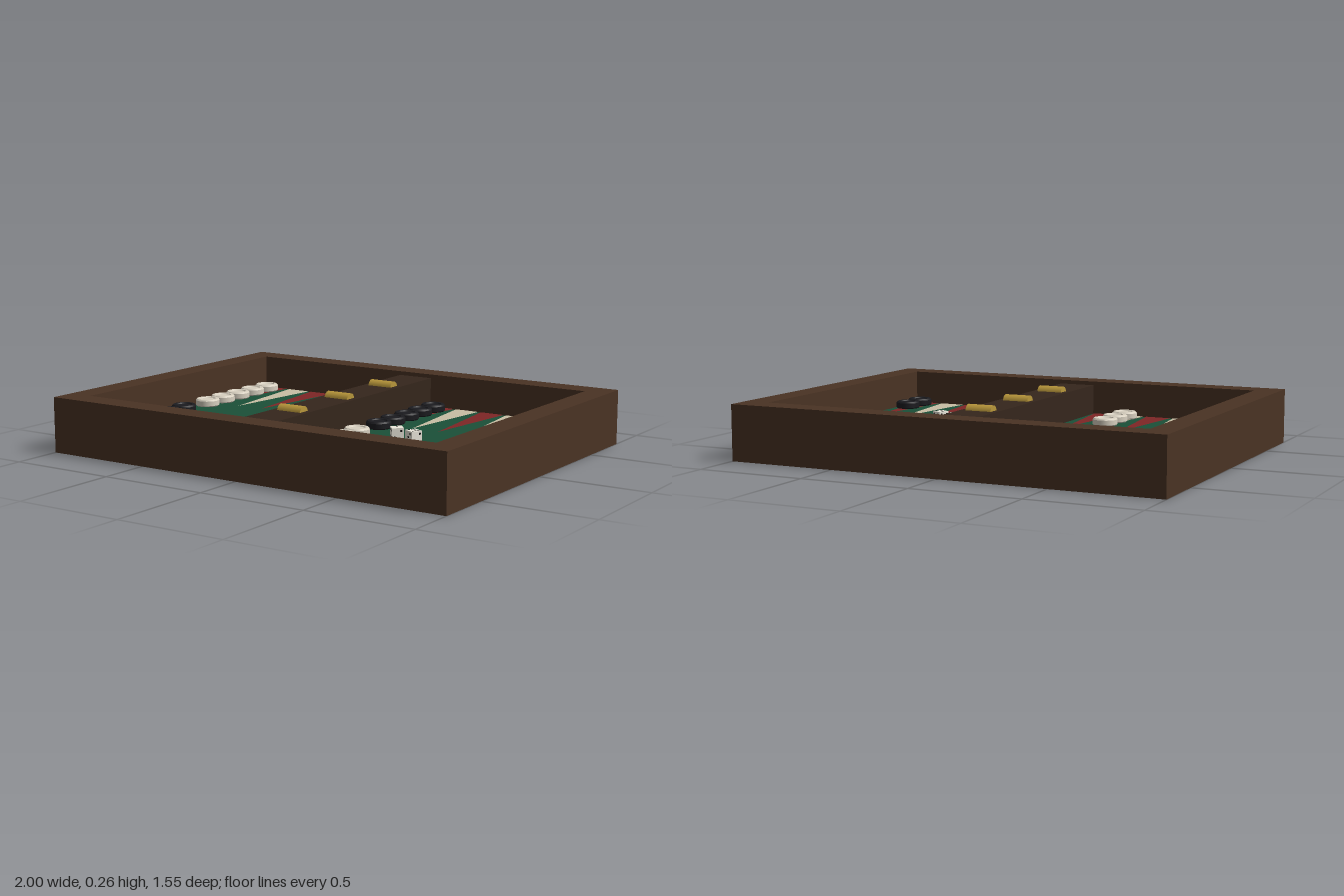
import * as THREE from 'three';

const mat = (color, extra = {}) => new THREE.MeshStandardMaterial({ color, ...extra });

const W = 1, D = 0.773, H = 0.25;        // half width, half depth, height of the case
const IW = 0.887, ID = 0.66;             // half width and depth of the playing area
const BAR = 0.085, FLOOR = 0.094;        // half width of the bar, height of the felt
const STEP = (IW - BAR) / 6;             // spacing of the points
const R = 0.057;                         // checker radius

export function createModel() {
  const model = new THREE.Group();
  model.name = 'backgammonBoard';
  const wood = mat(0x4a3324), darkWood = mat(0x35261c), felt = mat(0x1b5038);
  const red = mat(0x7f2626), cream = mat(0xc8bfa5), brass = mat(0xb8963a);
  const ivory = mat(0xd8d0c0), black = mat(0x1b1b1f), dieWhite = mat(0xece8dc), pipBlack = mat(0x111111);

  const add = (parent, name, geometry, material, x = 0, y = 0, z = 0) => {
    const mesh = new THREE.Mesh(geometry, material);
    mesh.name = name;
    mesh.position.set(x, y, z);
    parent.add(mesh);
    return mesh;
  };
  const rect = (PathType, a, b) => {
    const p = new PathType();
    p.moveTo(-a, -b); p.lineTo(a, -b); p.lineTo(a, b); p.lineTo(-a, b); p.closePath();
    return p;
  };

  // Case: a rectangular frame with a solid base inside it
  const frame = rect(THREE.Shape, W, D);
  frame.holes.push(rect(THREE.Path, IW, ID));
  const frameGeo = new THREE.ExtrudeGeometry(frame, { depth: H, bevelEnabled: false });
  frameGeo.rotateX(-Math.PI / 2);
  add(model, 'frame', frameGeo, wood);
  add(model, 'base', new THREE.BoxGeometry(2 * IW, 0.085, 2 * ID), wood, 0, 0.0425, 0);

  // Felt panels either side of the centre bar
  for (const s of [-1, 1]) {
    add(model, 'feltPanel', new THREE.BoxGeometry(IW - BAR, 0.012, 2 * ID), felt, s * (IW + BAR) / 2, FLOOR - 0.006, 0);
  }
  const barTop = 0.232;
  add(model, 'centreBar', new THREE.BoxGeometry(2 * BAR, barTop - 0.08, 2 * ID), darkWood, 0, (barTop + 0.08) / 2, 0);

  // Hinge barrels
  for (const z of [-0.363, 0, 0.363]) {
    const g = new THREE.CylinderGeometry(0.03, 0.03, 0.12, 16);
    g.rotateZ(Math.PI / 2);
    add(model, 'hinge', g, brass, 0, 0.227, z);
  }

  // Column centres from left to right
  const columns = [];
  for (const start of [-IW, BAR]) for (let i = 0; i < 6; i++) columns.push(start + (i + 0.5) * STEP);

  // Points: long triangles in alternating colours
  const tri = new THREE.Shape([new THREE.Vector2(-0.06, 0), new THREE.Vector2(0.06, 0), new THREE.Vector2(0, 0.505)]);
  const pointGeo = new THREE.ShapeGeometry(tri);
  pointGeo.rotateX(-Math.PI / 2);
  columns.forEach((x, i) => {
    add(model, 'frontPoint', pointGeo, i % 2 ? red : cream, x, FLOOR + 0.002, ID);
    add(model, 'backPoint', pointGeo, i % 2 ? cream : red, x, FLOOR + 0.002, -ID).rotation.y = Math.PI;
  });

  // Checkers: discs with a chamfered rim and a sunken centre
  const profile = [[0, 0], [R - 0.004, 0], [R, 0.005], [R, 0.027], [R - 0.006, 0.034], [0.038, 0.034], [0.034, 0.029], [0, 0.029]];
  // Separate bands keep the turned edges crisp
  const bands = profile.slice(1).map((p, i) =>
    new THREE.LatheGeometry([profile[i], p].map(([r, y]) => new THREE.Vector2(r, y)), 32));
  const checker = (material, x, z) => {
    const g = new THREE.Group();
    g.name = 'checker';
    bands.forEach((b) => add(g, 'checkerBand', b, material));
    g.position.set(x, FLOOR + 0.002, z);
    model.add(g);
  };
  // [column, count, back row material, front row material]
  const stacks = [[0, 5, ivory, black], [4, 3, black, ivory], [6, 5, black, ivory], [11, 2, ivory, black]];
  for (const [col, count, backMat, frontMat] of stacks) {
    for (let i = 0; i < count; i++) {
      const z = 0.568 - i * 0.1195;
      checker(backMat, columns[col], -z);
      checker(frontMat, columns[col], z);
    }
  }

  // Dice with pips on all six faces
  const S = 0.053, o = S * 0.27;
  const layouts = {
    1: [[0, 0]], 2: [[-1, -1], [1, 1]], 3: [[-1, -1], [0, 0], [1, 1]],
    4: [[-1, -1], [1, -1], [-1, 1], [1, 1]],
    5: [[-1, -1], [1, -1], [0, 0], [-1, 1], [1, 1]],
    6: [[-1, -1], [-1, 0], [-1, 1], [1, -1], [1, 0], [1, 1]],
  };
  const h = Math.PI / 2;
  const turns = [[-h, 0], [h, 0], [0, 0], [0, Math.PI], [0, h], [0, -h]]; // top, bottom, front, back, left, right
  const pipGeo = new THREE.CircleGeometry(0.0052, 12);
  const die = (x, z, angle, faces) => {
    const g = new THREE.Group();
    g.name = 'die';
    add(g, 'dieBody', new THREE.BoxGeometry(S, S, S), dieWhite);
    turns.forEach(([rx, ry], i) => {
      const face = new THREE.Group();
      face.name = 'dieFace';
      face.rotation.set(rx, ry, 0);
      for (const [u, v] of layouts[faces[i]]) add(face, 'pip', pipGeo, pipBlack, u * o, v * o, S / 2 + 0.0006);
      g.add(face);
    });
    g.position.set(x, FLOOR + S / 2, z);
    g.rotation.y = angle;
    model.add(g);
  };
  die(0.342, 0.063, 0.7, [1, 6, 2, 5, 3, 4]);
  die(0.438, 0.083, -0.45, [6, 1, 3, 4, 2, 5]);

  return model;
}
